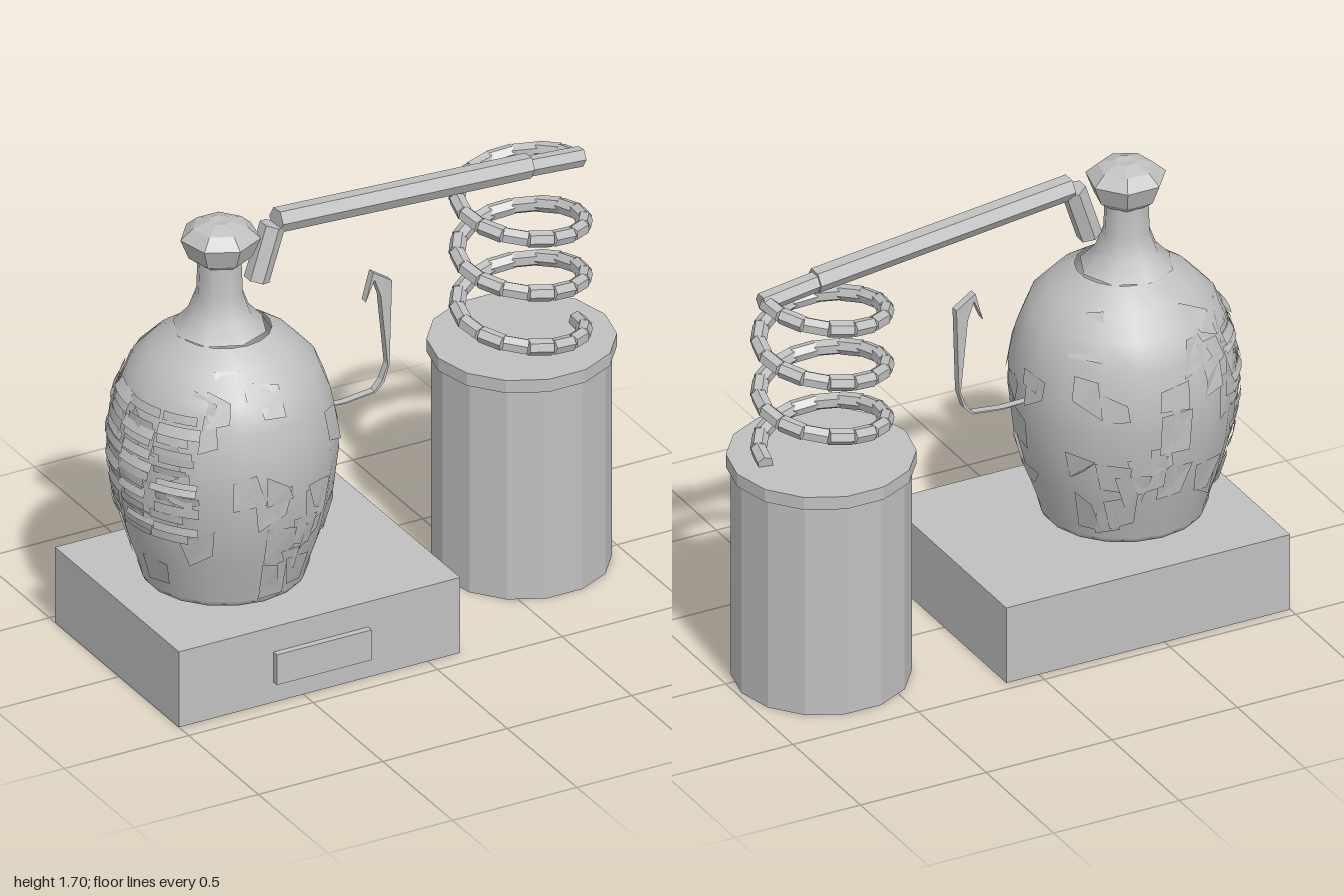
import * as THREE from 'three';
import { mergeGeometries } from 'three/addons/utils/BufferGeometryUtils.js';

export function createModel() {
  const group = new THREE.Group();
  const clay = new THREE.MeshStandardMaterial({ color: 0xc0c0c0, flatShading: true });
  clay.name = 'grey faceted';
  const glass = new THREE.MeshStandardMaterial({ color: 0xc0c0c0, side: THREE.DoubleSide });
  glass.name = 'grey smooth';

  const add = (name, geometry, material, x = 0, y = 0, z = 0, parent = group) => {
    const mesh = new THREE.Mesh(geometry, material);
    mesh.name = name;
    mesh.position.set(x, y, z);
    parent.add(mesh);
    return mesh;
  };
  const v = (x, y, z) => new THREE.Vector3(x, y, z);
  // Six-sided rod between two points
  const rod = (a, b, r) => {
    const d = b.clone().sub(a);
    const g = new THREE.CylinderGeometry(r, r, d.length(), 6);
    g.applyQuaternion(new THREE.Quaternion().setFromUnitVectors(v(0, 1, 0), d.normalize()));
    const m = a.clone().add(b).multiplyScalar(0.5);
    return g.translate(m.x, m.y, m.z);
  };
  let seed = 7;
  const rand = () => (seed = (seed * 16807) % 2147483647) / 2147483647;

  // Base box with front panel
  add('base', new THREE.BoxGeometry(1.13, 0.3, 0.89), clay, -0.435, 0.15, -0.015);
  add('basePanel', new THREE.BoxGeometry(0.38, 0.12, 0.025), clay, -0.43, 0.14, 0.4425);

  // Condenser drum and lid
  const drum = (r, h) => new THREE.CylinderGeometry(r, r, h, 14, 1, false, Math.PI / 2);
  add('drum', drum(0.318, 0.83), clay, 0.664, 0.415, -0.083);
  add('drumLid', drum(0.335, 0.05), clay, 0.664, 0.855, -0.083);

  // Coil made of short rods, winding down from the pipe to the lid
  const coilPoint = (i) => {
    const a = (i / 16) * Math.PI * 2;
    return v(0.66 + 0.225 * Math.cos(a), 1.535 - (0.215 * i) / 16, -0.083 - 0.225 * Math.sin(a));
  };
  const coil = [];
  for (let i = 0; i < 48; i++) coil.push(rod(coilPoint(i), coilPoint(i + 1), 0.03));
  add('coil', mergeGeometries(coil), clay);

  // Long pipe and its bent nozzle
  add('pipe', rod(v(-0.36, 1.642, -0.015), v(0.68, 1.562, -0.066), 0.046), clay);
  add('pipeEnd', rod(v(0.66, 1.56, -0.066), v(0.9, 1.535, -0.08), 0.037), clay);
  add('nozzle', rod(v(-0.442, 1.43, -0.01), v(-0.375, 1.63, -0.015), 0.046), clay);

  // Flask body
  const flask = new THREE.Group();
  flask.name = 'flask';
  flask.position.set(-0.575, 0, -0.01);
  group.add(flask);
  const profile = [[0, 0.325], [0.29, 0.32], [0.3, 0.34], [0.305, 0.37], [0.35, 0.5], [0.385, 0.64],
    [0.405, 0.8], [0.4, 0.92], [0.375, 1.04], [0.335, 1.14], [0.26, 1.22], [0.17, 1.28]];
  const radius = (y) => {
    for (let i = 2; i < profile.length; i++) {
      const [r0, y0] = profile[i - 1], [r1, y1] = profile[i];
      if (y <= y1) return r0 + ((r1 - r0) * (y - y0)) / (y1 - y0);
    }
    return 0.17;
  };
  const lathe = (pts, n, start = 0, len = Math.PI * 2) =>
    new THREE.LatheGeometry(pts.map(([r, y]) => new THREE.Vector2(r, y)), n, start, len);
  add('flaskBody', lathe(profile, 18), glass, 0, 0, 0, flask);
  add('neck', lathe([[0.17, 1.28], [0.115, 1.34], [0.085, 1.42], [0.08, 1.55]], 8), glass, -0.01, 0, -0.01, flask);

  // Faceted stopper
  add('stopper', lathe([[0, 1.52], [0.075, 1.53], [0.115, 1.56], [0.145, 1.635], [0.1, 1.675], [0.04, 1.695], [0, 1.69]], 7),
    new THREE.MeshStandardMaterial().copy(glass), -0.005, 0, -0.015, flask).material = clay;

  // Cracked shards lying just above the flask surface
  const shardPoints = [];
  for (let i = 0; i < 64; i++) {
    const phi = rand() * Math.PI * 2, y = 0.4 + rand() * 0.78;
    const corners = [[-1, -1], [1, -1], [1, 1], [-1, 1]].map(([sx, sy]) => {
      const a = phi + sx * (0.06 + rand() * 0.14);
      const h = y + sy * (0.02 + rand() * 0.07);
      const r = radius(h) + 0.001 + rand() * 0.009;
      return [r * Math.sin(a), h, r * Math.cos(a)];
    });
    for (const k of [0, 1, 2, 0, 2, 3]) shardPoints.push(...corners[k]);
  }
  const shards = new THREE.BufferGeometry();
  shards.setAttribute('position', new THREE.Float32BufferAttribute(shardPoints, 3));
  shards.computeVertexNormals();
  add('shards', shards, glass, 0, 0, 0, flask);

  // Ragged slats on the outer side of the flask
  const slats = [];
  for (let row = 0; row < 13; row++) {
    for (let col = 0; col < 4; col++) {
      const y = 0.61 + row * 0.038 + (rand() - 0.5) * 0.02;
      const top = y + 0.02 + rand() * 0.02;
      const start = Math.PI * 1.5 - 0.85 + col * 0.42 + (rand() - 0.5) * 0.1;
      slats.push(lathe([[radius(y) + rand() * 0.018, y], [radius(top) + rand() * 0.012, top]], 3, start, 0.32 + rand() * 0.12));
    }
  }
  add('slats', mergeGeometries(slats), glass, 0, 0, 0, flask);

  // Thin broken handle strip
  const outline = [[-0.18, 0.845], [-0.08, 0.838], [0.04, 0.85], [0.075, 0.885], [0.095, 0.95], [0.105, 1.28],
    [0.03, 1.33], [0.0, 1.22], [0.035, 1.3], [0.06, 1.23], [0.088, 0.95], [0.065, 0.89], [0.035, 0.856], [-0.08, 0.843]];
  const handle = new THREE.ExtrudeGeometry(new THREE.Shape(outline.map(([x, y]) => new THREE.Vector2(x, y))),
    { depth: 0.03, bevelEnabled: false });
  add('handle', handle, clay, 0, 0, -0.045);

  return group;
}
